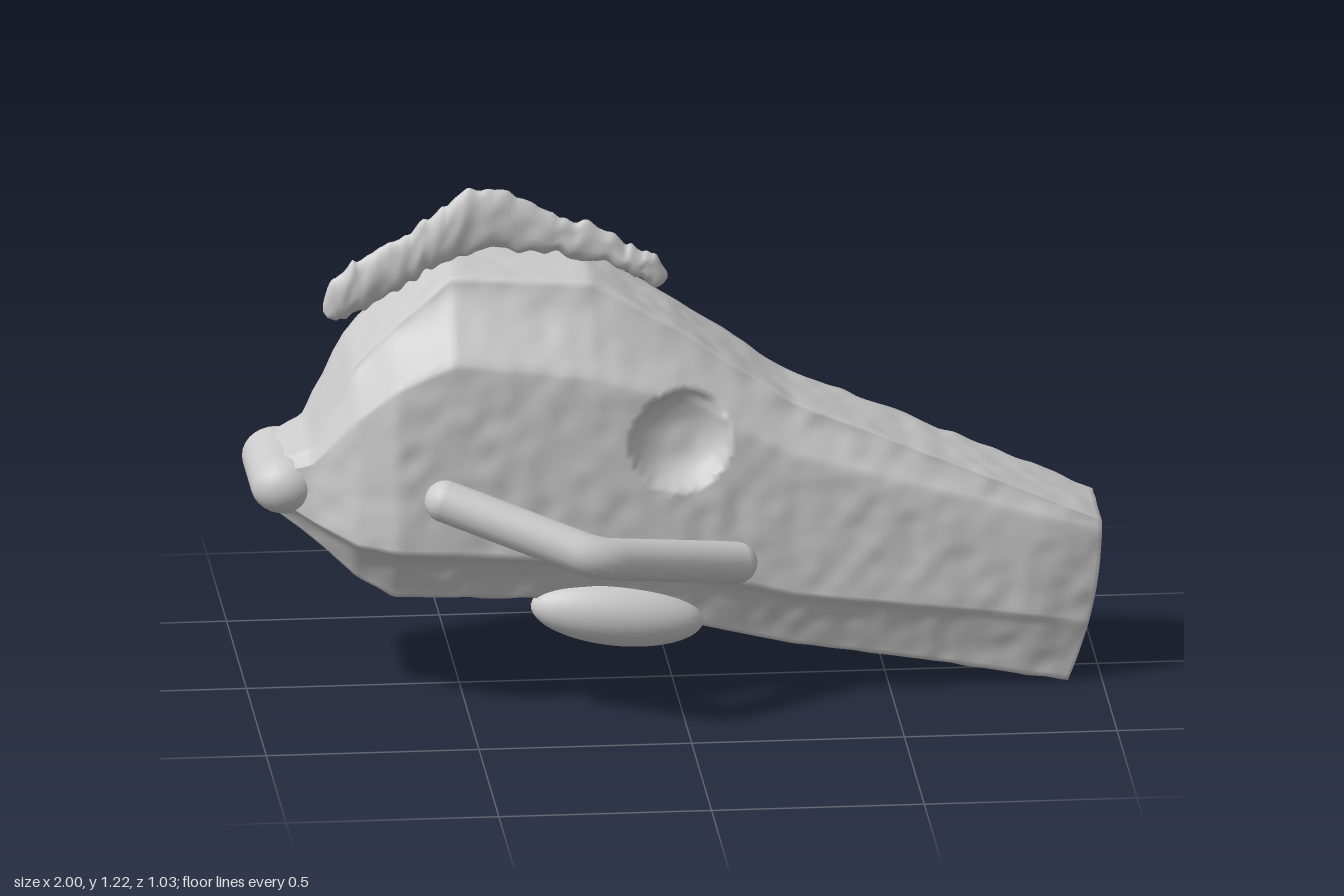
import * as THREE from 'three';

const material = new THREE.MeshStandardMaterial({ color: 0xcccccc });
const { lerp, clamp, smoothstep } = THREE.MathUtils;

// Skin consecutive closed rings of points (rings run top, +z, bottom, -z; rows run to +x)
function loft(rows) {
  const n = rows[0].length;
  const index = [];
  for (let r = 0; r < rows.length - 1; r++) {
    for (let i = 0; i < n; i++) {
      const a = r * n + i, b = r * n + (i + 1) % n;
      index.push(a, b, a + n, b, b + n, a + n);
    }
  }
  const geo = new THREE.BufferGeometry();
  geo.setAttribute('position', new THREE.Float32BufferAttribute(rows.flat(2), 3));
  geo.setIndex(index);
  geo.computeVertexNormals();
  return geo;
}

// Seeded value noise, -1 to 1, for pitted bone
function hash(x, y, z) {
  const h = Math.sin(x * 127.1 + y * 311.7 + z * 74.7) * 43758.5453;
  return (h - Math.floor(h)) * 2 - 1;
}
function noise(x, y, z) {
  const [i, j, k] = [x, y, z].map(Math.floor);
  const [u, v, w] = [x - i, y - j, z - k].map((t) => smoothstep(t, 0, 1));
  const line = (b, c) => lerp(hash(i, b, c), hash(i + 1, b, c), u);
  const sheet = (c) => lerp(line(j, c), line(j + 1, c), v);
  return lerp(sheet(k), sheet(k + 1), w);
}

// x, y of top / cheek top / cheek bottom / underside, then half widths at the same levels
const stations = [
  [-0.93, 0.60, 0.58, 0.50, 0.46, 0.10, 0.14, 0.14, 0.09],
  [-0.86, 0.63, 0.60, 0.46, 0.41, 0.13, 0.165, 0.17, 0.12],
  [-0.76, 0.83, 0.73, 0.42, 0.32, 0.13, 0.23, 0.25, 0.15],
  [-0.67, 0.92, 0.81, 0.41, 0.27, 0.13, 0.262, 0.287, 0.17],
  [-0.53, 1.04, 0.87, 0.40, 0.27, 0.13, 0.255, 0.282, 0.19],
  [-0.20, 1.02, 0.82, 0.37, 0.26, 0.13, 0.238, 0.265, 0.19],
  [0.00, 0.90, 0.75, 0.34, 0.19, 0.13, 0.215, 0.25, 0.175],
  [0.27, 0.71, 0.60, 0.26, 0.12, 0.13, 0.185, 0.22, 0.152],
  [0.87, 0.45, 0.41, 0.17, 0.02, 0.125, 0.14, 0.16, 0.13],
  [1.00, 0.39, 0.37, 0.14, 0.00, 0.12, 0.122, 0.128, 0.12],
];

function stationAt(x) {
  let i = 0;
  while (i < stations.length - 2 && x > stations[i + 1][0]) i++;
  const [a, b] = [stations[i], stations[i + 1]];
  const t = (x - a[0]) / (b[0] - a[0]);
  return a.map((v, k) => lerp(v, b[k], t));
}

// Curvature of each section edge: hollow temple, rounded cheek, undercut jaw, flat underside, mirrored
const powers = [1.5, 0.65, 0.6, 1];
function flare(edge, t) {
  return edge > 3 && edge < 7 ? 1 - (1 - t) ** powers[6 - edge] : t ** powers[edge % 4];
}

// One skull section; k shrinks it towards its centre to close the ends
function skullRing(x, k) {
  const [, y0, y1, y2, y3, w0, w1, w2, w3] = stationAt(x);
  const half = [[y0, w0], [y1, w1], [y2, w2], [y3, w3]];
  const corners = [...half, ...half.map(([y, w]) => [y, -w]).reverse()];
  const steps = [12, 32, 12, 10, 12, 32, 12, 12];
  const mid = (y0 + y3) / 2;
  const ring = [];
  corners.forEach(([ya, za], e) => {
    const [yb, zb] = corners[(e + 1) % 8];
    for (let s = 0; s < steps[e]; s++) {
      const t = s / steps[e];
      const y = lerp(mid, lerp(ya, yb, t), k);
      let z = lerp(za, zb, flare(e, t)) * k;
      // Snout end leans back towards the jaw
      let px = x - 0.08 * clamp((x - 0.5) / 0.5, 0, 1) * clamp((0.39 - y) / 0.39, 0, 1) ** 2;
      // Eye sockets
      const eye = Math.hypot(px, y - 0.65) / 0.115;
      if (eye < 1 && Math.abs(z) > 0.14) z -= Math.sign(z) * 0.07 * Math.sqrt(1 - eye * eye);
      // Nasal opening
      const nose = Math.hypot(y - 0.25, z) / 0.09;
      if (x > 0.99 && nose < 1) px -= 0.07 * Math.sqrt(1 - nose * nose);
      const d = 0.004 * noise(px * 22, y * 22, z * 22);
      ring.push([px, y + (e === 3 || e === 7 ? d : 0), z + Math.sign(z) * d]);
    }
  });
  return ring;
}

function skullGeometry() {
  const rows = [];
  for (let i = 0; i < 8; i++) rows.push(skullRing(-0.93, 0.001 + i / 8));
  for (let i = 0; i <= 160; i++) rows.push(skullRing(lerp(-0.93, 1, i / 160), 1));
  for (let i = 23; i >= 0; i--) rows.push(skullRing(1, 0.001 + i / 24));
  return loft(rows);
}

// Thin ragged crest between an inner and an outer arc
function crestGeometry() {
  const arc = (pts) => new THREE.CatmullRomCurve3(pts.map(([x, y]) => new THREE.Vector3(x, y, 0)));
  const outer = arc([[-0.83, 0.97], [-0.73, 1.05], [-0.60, 1.13], [-0.45, 1.21], [-0.28, 1.15], [-0.12, 1.08], [0.0, 1.01]]);
  const inner = arc([[-0.81, 0.89], [-0.72, 0.93], [-0.60, 1.00], [-0.48, 1.055], [-0.30, 1.055], [-0.13, 1.01], [-0.02, 0.95]]);
  const rows = [];
  for (let i = 0; i <= 120; i++) {
    const t = i / 120;
    const o = outer.getPoint(t), n = inner.getPoint(t);
    o.y += 0.012 * noise(t * 32, 0, 0) + 0.006 * noise(t * 60, 5, 0);
    n.y += 0.010 * noise(t * 36, 9, 0);
    const c = o.clone().add(n).multiplyScalar(0.5);
    const r = o.clone().sub(n).multiplyScalar(0.5);
    const end = Math.min(1, 0.02 + Math.sqrt(Math.min(t, 1 - t) * 25));
    const ring = [];
    for (let s = 0; s < 20; s++) {
      const a = (s / 20) * Math.PI * 2;
      const k = Math.cos(a) * end;
      const thick = 0.023 + 0.005 * noise(t * 26, k * 2, 3);
      ring.push([c.x + r.x * k, c.y + r.y * k, thick * Math.sin(a) * end]);
    }
    rows.push(ring);
  }
  return loft(rows);
}

function add(parent, name, geometry) {
  const mesh = new THREE.Mesh(geometry, material);
  mesh.name = name;
  parent.add(mesh);
  return mesh;
}

export function createModel() {
  const model = new THREE.Group();
  model.name = 'animalSkull';
  add(model, 'skull', skullGeometry());
  add(model, 'crest', crestGeometry());

  // Rounded bar across the back of the skull
  const knob = add(model, 'rearKnob', new THREE.CapsuleGeometry(0.068, 0.22, 12, 28));
  knob.rotation.x = Math.PI / 2;
  knob.scale.x = 1.18;
  knob.position.set(-0.92, 0.535, 0);

  for (const [label, side] of [['front', 1], ['back', -1]]) {
    // Bent cheek arch with rounded ends
    const start = new THREE.Vector3(0.13, 0.35, 0.23 * side);
    const bend = new THREE.Vector3(-0.22, 0.45, 0.472 * side);
    const end = new THREE.Vector3(-0.565, 0.565, 0.36 * side);
    const path = new THREE.CurvePath();
    const before = bend.clone().lerp(start, 0.12), after = bend.clone().lerp(end, 0.12);
    path.add(new THREE.LineCurve3(start, before));
    path.add(new THREE.QuadraticBezierCurve3(before, bend, after));
    path.add(new THREE.LineCurve3(after, end));
    const arch = new THREE.Group();
    arch.name = label + 'CheekArch';
    add(arch, 'archBar', new THREE.TubeGeometry(path, 60, 0.05, 18));
    for (const p of [start, end]) add(arch, 'archEnd', new THREE.SphereGeometry(0.05, 18, 12)).position.copy(p);
    model.add(arch);

    // Oval ear capsule under the skull
    const capsule = add(model, label + 'EarCapsule', new THREE.SphereGeometry(1, 32, 20));
    capsule.scale.set(0.205, 0.078, 0.078);
    capsule.rotation.z = -0.13;
    capsule.position.set(-0.145, 0.217, 0.176 * side);
  }
  return model;
}
